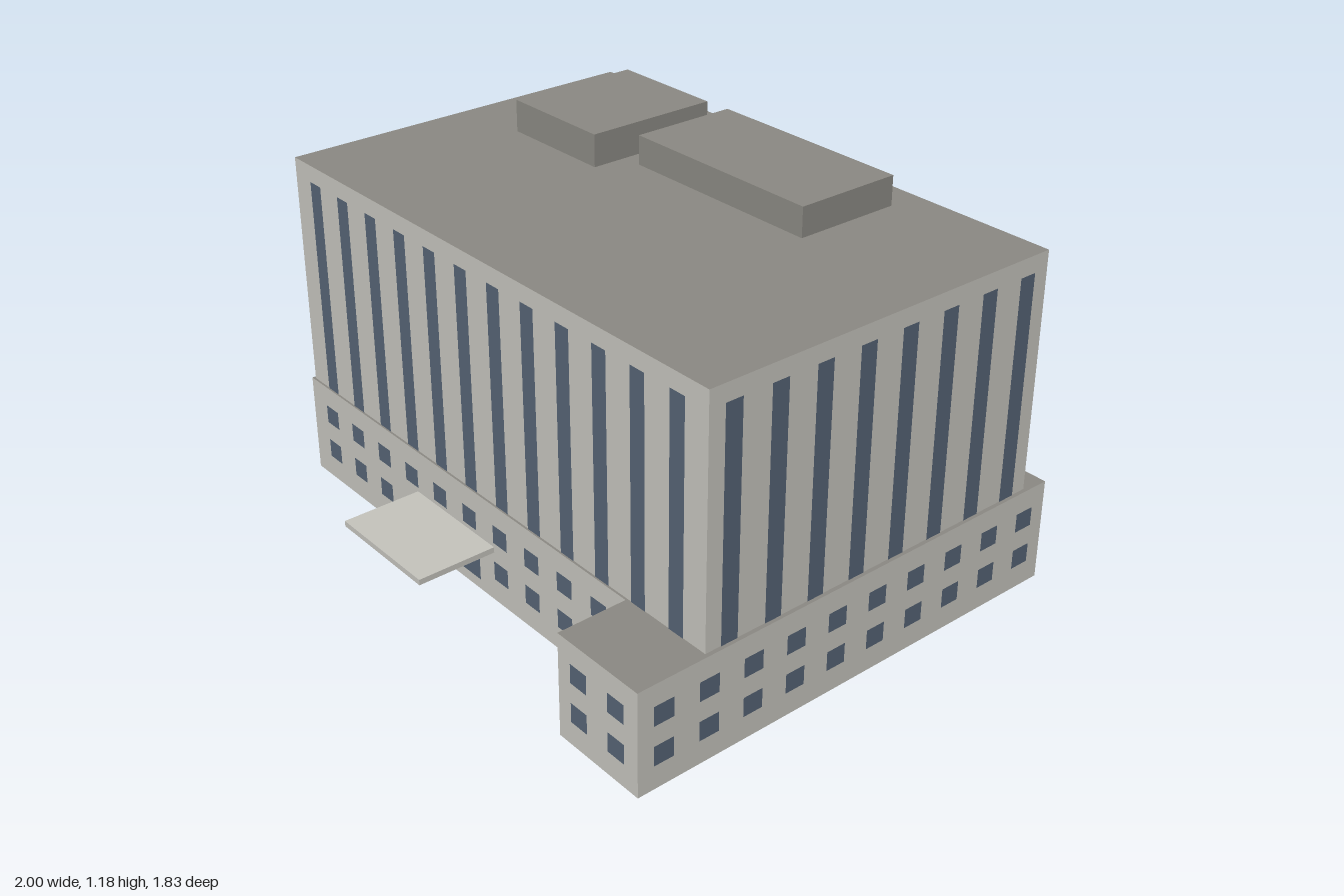
import * as THREE from 'three';

const flat = (name, color, side = THREE.FrontSide) => {
  const m = new THREE.MeshStandardMaterial({ color, side });
  m.name = name;
  return m;
};

export function createModel() {
  const wall = flat('concrete', 0xc6c5be, THREE.DoubleSide);
  const roof = flat('roof grey', 0x8c8a84, THREE.DoubleSide);
  const glass = flat('blue glass', 0x566475);
  const model = new THREE.Group();
  model.name = 'officeBuilding';

  const PITCH = 0.1505, PODIUM = 0.327, TOP = 1.08, GAP = 0.0015;

  function add(parent, name, geometry, material) {
    const mesh = new THREE.Mesh(geometry, material);
    mesh.name = name;
    parent.add(mesh);
    return mesh;
  }

  // Box given by its extents
  function block(name, material, x0, x1, y0, y1, z0, z1) {
    const mesh = add(model, name, new THREE.BoxGeometry(x1 - x0, y1 - y0, z1 - z0), material);
    mesh.position.set((x0 + x1) / 2, (y0 + y1) / 2, (z0 + z1) / 2);
  }

  // Glass face just in front of a wall at local depth z
  function pane(parent, name, x, width, y0, y1, z) {
    const mesh = add(parent, name, new THREE.PlaneGeometry(width, y1 - y0), glass);
    mesh.position.set(x, (y0 + y1) / 2, z + GAP);
  }

  // Wall rising over one edge of a footprint; local x runs along it, local z points outwards
  function facade(parent, name, a, b, height) {
    const dx = b[0] - a[0], dz = b[1] - a[1], length = Math.hypot(dx, dz);
    const group = new THREE.Group();
    group.name = name;
    group.position.set((a[0] + b[0]) / 2, 0, (a[1] + b[1]) / 2);
    group.rotation.y = Math.atan2(-dz, dx);
    parent.add(group);
    add(group, 'wallPanel', new THREE.PlaneGeometry(length, height), wall).position.y = height / 2;
    return { group, length };
  }

  // Evenly pitched, centred row of windows
  function windowRow(f, name, width, y0, y1, skip = () => false) {
    const count = f.length < 0.2 ? 0 : Math.floor(f.length / 0.15 + 0.02);
    for (let i = 0; i < count; i++) {
      if (!skip(i)) pane(f.group, name, (i - (count - 1) / 2) * PITCH, width, y0, y1, 0);
    }
  }

  // Flat roof over a footprint, optionally leaving an opening
  const toPoints = (outline) => outline.map(([x, z]) => new THREE.Vector2(x, -z));
  function roofOver(parent, name, outline, y, opening) {
    const shape = new THREE.Shape(toPoints(outline));
    if (opening) shape.holes.push(new THREE.Path(toPoints(opening)));
    add(parent, name, new THREE.ShapeGeometry(shape).rotateX(-Math.PI / 2), roof).position.y = y;
  }

  const edges = (outline, fn) =>
    outline.forEach((p, i) => fn(p, outline[(i + 1) % outline.length], i));

  // Tower with vertical window strips, open underneath
  const tower = new THREE.Group();
  tower.name = 'tower';
  model.add(tower);
  const plan = [[-0.893, 0.655], [0.987, 0.655], [0.987, -0.557], [-0.893, -0.557]];
  edges(plan, (a, b) => {
    const f = facade(tower, 'towerWall', a, b, TOP);
    windowRow(f, 'windowStrip', 0.056, PODIUM, 1.027);
  });
  roofOver(tower, 'towerRoof', plan, TOP);

  // Podium around the tower with front wing, rear annex and side shaft
  const podium = new THREE.Group();
  podium.name = 'podium';
  model.add(podium);
  const footprint = [
    [-0.903, 0.662], [0.68, 0.662], [0.68, 0.885], [1, 0.885],
    [1, -0.638], [0.05, -0.638], [0.05, -0.57], [-0.093, -0.57],
    [-0.093, -0.915], [-0.432, -0.915], [-0.432, -0.565], [-0.903, -0.565],
    [-0.903, -0.33], [-1, -0.33], [-1, -0.14], [-0.903, -0.14],
  ];
  edges(footprint, (a, b, i) => {
    const f = facade(podium, 'podiumWall', a, b, PODIUM);
    // the entrance replaces two lower windows of the front
    windowRow(f, 'lowerWindow', 0.066, 0.075, 0.137, (k) => i === 0 && (k === 4 || k === 5));
    windowRow(f, 'upperWindow', 0.066, 0.2, 0.261);
  });
  roofOver(podium, 'podiumRoof', footprint, PODIUM, plan);

  // Entrance and canopy
  pane(model, 'entranceDoor', -0.112, 0.24, 0.035, 0.16, 0.662);
  block('entranceCanopy', wall, -0.31, 0.082, 0.167, 0.185, 0.662, 0.917);

  // Rooftop plant rooms
  block('plantRoomSmall', roof, -0.642, -0.254, TOP, 1.183, -0.428, 0.014);
  block('plantRoomLong', roof, -0.186, 0.509, TOP, 1.173, -0.45, -0.1);

  return model;
}
